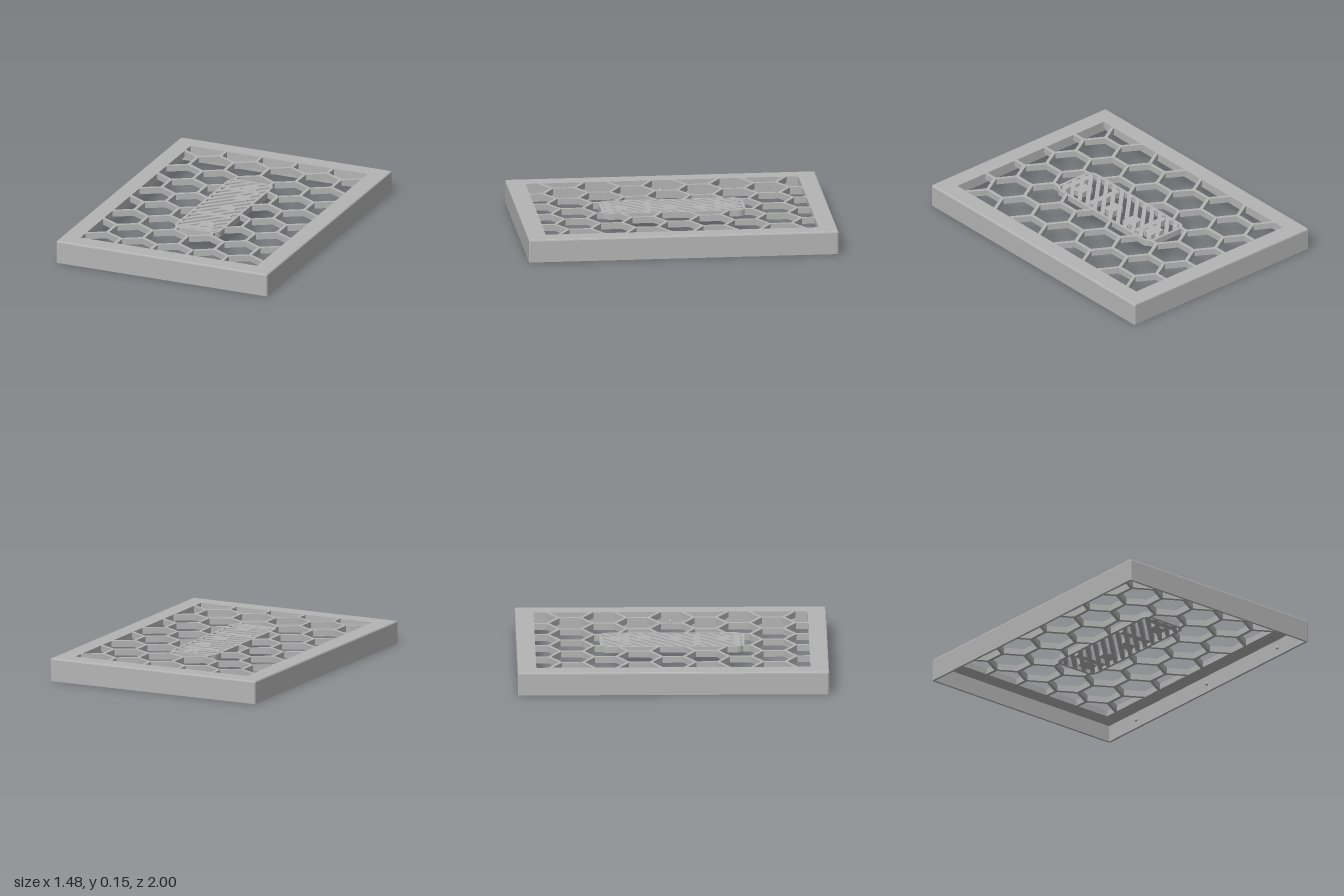
import * as THREE from 'three';

const HX = 0.74, HZ = 1, TOP = 0.15, PLATE = 0.04, RIM = 0.12, WALL = 0.015;
const BADGE = { hx: 0.16, hz: 0.465, r: 0.06, rim: 0.018 };

// Signed distance to the rounded badge outline (negative inside)
function badgeDistance(x, z) {
  const qx = Math.abs(x) - BADGE.hx + BADGE.r, qz = Math.abs(z) - BADGE.hz + BADGE.r;
  return Math.hypot(Math.max(qx, 0), Math.max(qz, 0)) + Math.min(Math.max(qx, qz), 0) - BADGE.r;
}

// Rectangular frame: one closed profile [inset, y, corner chamfer] carried round four sides
function frameGeometry() {
  const profile = [
    [WALL, 0, 0], [0, 0, 0.008], [0, TOP - 0.01, 0.008], [0.003, TOP - 0.003, 0.007], [0.01, TOP, 0.004],
    [RIM, TOP, 0], [RIM, TOP - PLATE, 0], [WALL, TOP - PLATE, 0], [WALL, 0, 0],
  ];
  const rings = profile.map(([inset, y, c]) => {
    const x = HX - inset, z = HZ - inset;
    return [[-x, z - c], [-x + c, z], [x - c, z], [x, z - c], [x, -z + c], [x - c, -z], [-x + c, -z], [-x, -z + c]]
      .map(([px, pz]) => [px, y, pz]);
  });
  const pos = [];
  for (let i = 0; i < rings.length - 1; i++) {
    for (let j = 0; j < 8; j++) {
      const k = (j + 1) % 8;
      const a = rings[i][j], b = rings[i][k], c = rings[i + 1][k], d = rings[i + 1][j];
      pos.push(...a, ...b, ...c, ...a, ...c, ...d);
    }
  }
  const geo = new THREE.BufferGeometry();
  geo.setAttribute('position', new THREE.Float32BufferAttribute(pos, 3));
  geo.computeVertexNormals();
  return geo;
}

function roundedPath(path, hx, hz, r) {
  path.absarc(hx - r, hz - r, r, 0, Math.PI / 2);
  path.absarc(-hx + r, hz - r, r, Math.PI / 2, Math.PI);
  path.absarc(-hx + r, -hz + r, r, Math.PI, Math.PI * 1.5);
  path.absarc(hx - r, -hz + r, r, Math.PI * 1.5, Math.PI * 2);
  path.closePath();
  return path;
}

// Shorten segment a-b to the stretch accepted by keep(); null if none of it is
function trim(a, b, keep) {
  const ka = keep(...a), kb = keep(...b);
  if (ka && kb) return [a, b];
  if (!ka && !kb) return null;
  let [good, bad] = ka ? [a, b] : [b, a];
  const start = good;
  for (let i = 0; i < 16; i++) {
    const mid = [(good[0] + bad[0]) / 2, (good[1] + bad[1]) / 2];
    if (keep(...mid)) good = mid; else bad = mid;
  }
  return [start, good];
}

export function createModel() {
  const group = new THREE.Group();
  group.name = 'ventCover';
  const grey = new THREE.MeshStandardMaterial({ color: 0xb4b4b4 });
  grey.name = 'grey';

  const add = (geo, name, parent = group) => {
    const mesh = new THREE.Mesh(geo, grey);
    mesh.name = name;
    parent.add(mesh);
    return mesh;
  };
  const subgroup = (name) => {
    const g = new THREE.Group();
    g.name = name;
    group.add(g);
    return g;
  };
  // Flat bar between two points of the top plate
  const bar = ([ax, az], [bx, bz], width, extra, name, parent) => {
    const length = Math.hypot(bx - ax, bz - az) + extra;
    const mesh = add(new THREE.BoxGeometry(length, PLATE, width), name, parent);
    mesh.position.set((ax + bx) / 2, TOP - PLATE / 2, (az + bz) / 2);
    mesh.rotation.y = -Math.atan2(bz - az, bx - ax);
  };

  add(frameGeometry(), 'frame');

  // Honeycomb: each cell row gives its upright bars and the slanted bars on one side
  const honeycomb = subgroup('honeycomb');
  const pitch = 0.25, side = pitch / Math.sqrt(3), rowStep = side * 1.5;
  const inLattice = (x, z) => Math.abs(x) < HX - RIM + 0.002 && Math.abs(z) < HZ - RIM + 0.002 && badgeDistance(x, z) > -0.01;
  for (let row = -5; row <= 5; row++) {
    for (let col = -4; col <= 4; col++) {
      const x = col * pitch + (row % 2 ? pitch / 2 : 0), z = row * rowStep;
      const right = x + pitch / 2, left = x - pitch / 2;
      const edges = [
        [[right, z - side / 2], [right, z + side / 2]],
        [[right, z + side / 2], [x, z + side]],
        [[x, z + side], [left, z + side / 2]],
      ];
      for (const [a, b] of edges) {
        const seg = trim(a, b, inLattice);
        if (seg) bar(seg[0], seg[1], 0.022, 0.012, 'latticeBar', honeycomb);
      }
    }
  }

  // Central panel: rounded rim
  const panel = subgroup('centrePanel');
  const { hx, hz, r, rim } = BADGE;
  const outline = roundedPath(new THREE.Shape(), hx, hz, r);
  outline.holes.push(roundedPath(new THREE.Path(), hx - rim, hz - rim, r - rim));
  const rimGeo = new THREE.ExtrudeGeometry(outline, { depth: PLATE, bevelEnabled: false, curveSegments: 8 });
  rimGeo.rotateX(-Math.PI / 2).translate(0, TOP - PLATE, 0);
  add(rimGeo, 'panelRim', panel);

  // Diagonal slats inside the panel
  const inPanel = (x, z) => badgeDistance(x, z) < -0.012;
  for (let c = -0.6; c <= 0.6; c += 0.075) {
    let first = null, last = null;
    for (let x = -hx; x <= hx; x += 0.004) {
      if (!inPanel(x, c - x)) continue;
      last = [x, c - x];
      first = first || last;
    }
    if (first && last[0] - first[0] > 0.02) bar(first, last, 0.028, 0, 'panelSlat', panel);
  }

  // Plain cross ribs and pads stiffening the panel
  for (const z of [-0.295, 0.16, 0.415]) bar([-0.12, z], [0.115, z], 0.042, 0, 'panelRib', panel);
  for (const [x, z] of [[0.03, -0.365], [0.05, -0.18], [0.04, 0.02], [0.03, 0.33]]) {
    bar([x - 0.05, z], [x + 0.05, z], 0.08, 0, 'panelPad', panel);
  }

  // Small snap bumps on the inner faces of the long walls
  const bumps = subgroup('snapBumps');
  for (const s of [-1, 1]) {
    for (const z of [-0.71, 0, 0.71]) {
      add(new THREE.SphereGeometry(0.012, 14, 10), 'snapBump', bumps).position.set(s * (HX - WALL), 0.055, z);
    }
  }
  return group;
}
